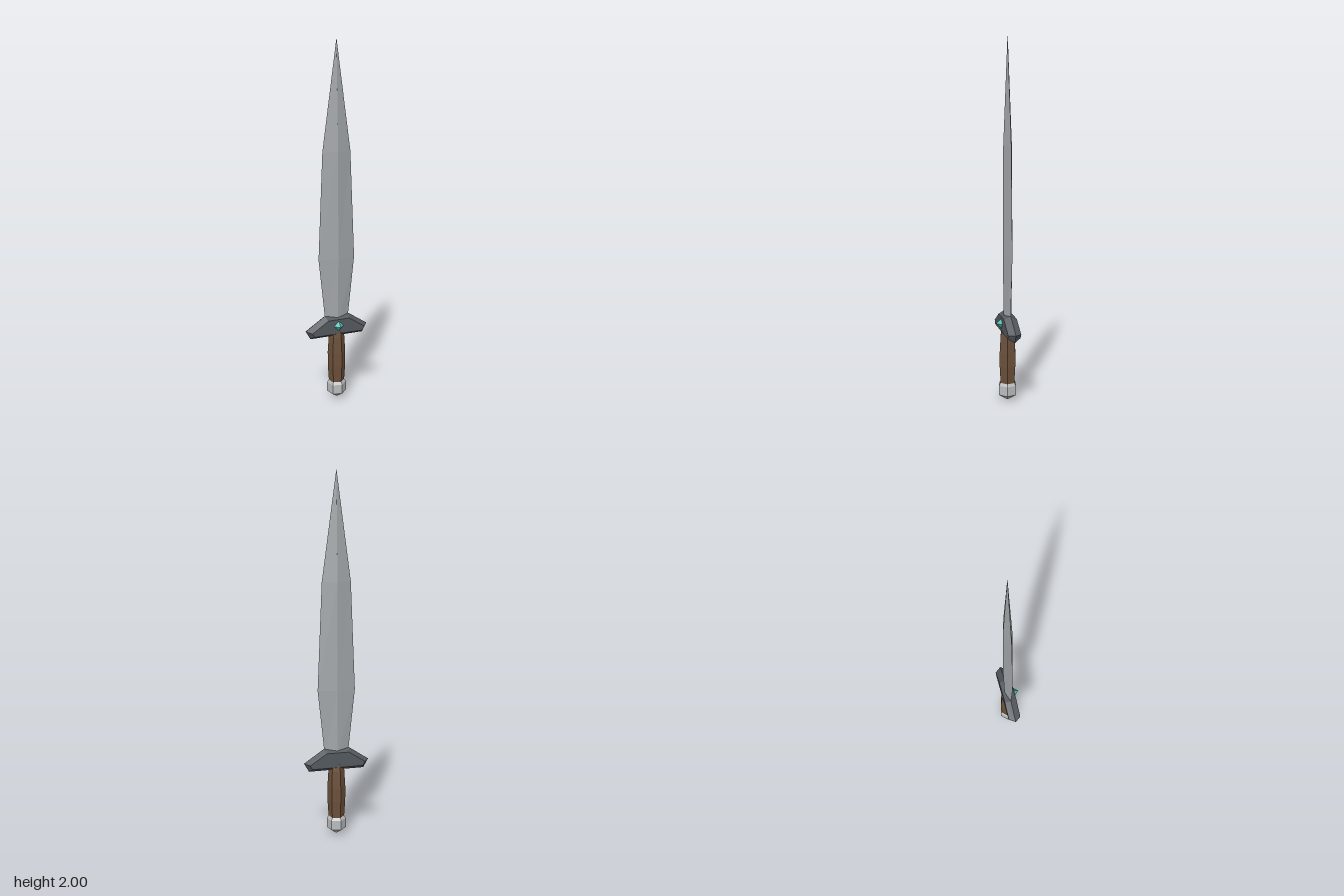
import * as THREE from 'three';

const MID_Z = -0.008; // centre plane of blade, guard and grip

function material(name, color) {
  const m = new THREE.MeshStandardMaterial({ color, flatShading: true });
  m.name = name;
  return m;
}

// Skins equal-length rings (counter-clockwise about the sweep direction) and caps both ends
function loft(rings) {
  const n = rings[0].length;
  const index = [];
  for (let i = 0; i < rings.length - 1; i++) {
    for (let j = 0; j < n; j++) {
      const k = (j + 1) % n;
      const a = i * n + j, b = i * n + k;
      index.push(a, b, b + n, a, b + n, a + n);
    }
  }
  const top = (rings.length - 1) * n;
  for (let j = 1; j < n - 1; j++) {
    index.push(0, j + 1, j, top, top + j, top + j + 1);
  }
  const g = new THREE.BufferGeometry();
  g.setAttribute('position', new THREE.Float32BufferAttribute(rings.flat(2), 3));
  g.setIndex(index);
  g.computeVertexNormals();
  return g;
}

// Six-sided turned part from [radius, y] pairs, bottom to top
function hexTurned(profile) {
  const points = profile.map(([r, y]) => new THREE.Vector2(r, y));
  return new THREE.LatheGeometry(points, 6, Math.PI / 12);
}

export function createModel() {
  const group = new THREE.Group();
  const blade = material('blade steel', 0xa3a7aa);
  const guard = material('dark iron', 0x555a60);
  const grip = material('brown leather', 0x6b5039);
  const pommel = material('light steel', 0xbabcbd);
  const gem = material('teal gem', 0x46b8aa);

  const add = (name, geometry, mat, x = 0, y = 0, z = MID_Z) => {
    const mesh = new THREE.Mesh(geometry, mat);
    mesh.name = name;
    mesh.position.set(x, y, z);
    group.add(mesh);
    return mesh;
  };

  // Leaf-shaped blade: diamond sections [y, half width, half thickness]
  const bladeSections = [
    [0.46, 0.066, 0.021], [0.83, 0.105, 0.027], [1.42, 0.08, 0.024], [2, 0.0005, 0.0005],
  ];
  add('blade', loft(bladeSections.map(([y, w, t]) => [[w, y, 0], [0, y, -t], [-w, y, 0], [0, y, t]])), blade);

  // Crossguard: outline widest on the centre plane, bevelled to front and back
  const outline = (tip, tipY, shoulder, topY, foot, footY, z) => [
    [foot, footY, z], [tip, tipY, z], [shoulder, topY, z],
    [-shoulder, topY, z], [-tip, tipY, z], [-foot, footY, z],
  ];
  const face = (z) => outline(0.157, 0.421, 0.062, 0.483, 0.143, 0.399, z);
  add('crossguard', loft([
    face(-0.036),
    outline(0.184, 0.425, 0.072, 0.5, 0.156, 0.376, 0),
    face(0.036),
  ]), guard);

  // Grip, swelling in the middle and tapering into the guard
  add('grip', hexTurned([
    [0, 0.08], [0.043, 0.09], [0.05, 0.2], [0.05, 0.28], [0.044, 0.375], [0.036, 0.425], [0, 0.44],
  ]), grip);

  // Faceted pommel
  add('pommel', hexTurned([
    [0, 0], [0.054, 0.036], [0.054, 0.09], [0.044, 0.105], [0, 0.105],
  ]), pommel);

  // Gem set in the front of the guard
  add('gem', new THREE.OctahedronGeometry(0.029), gem, 0, 0.445, 0.028);

  return group;
}
